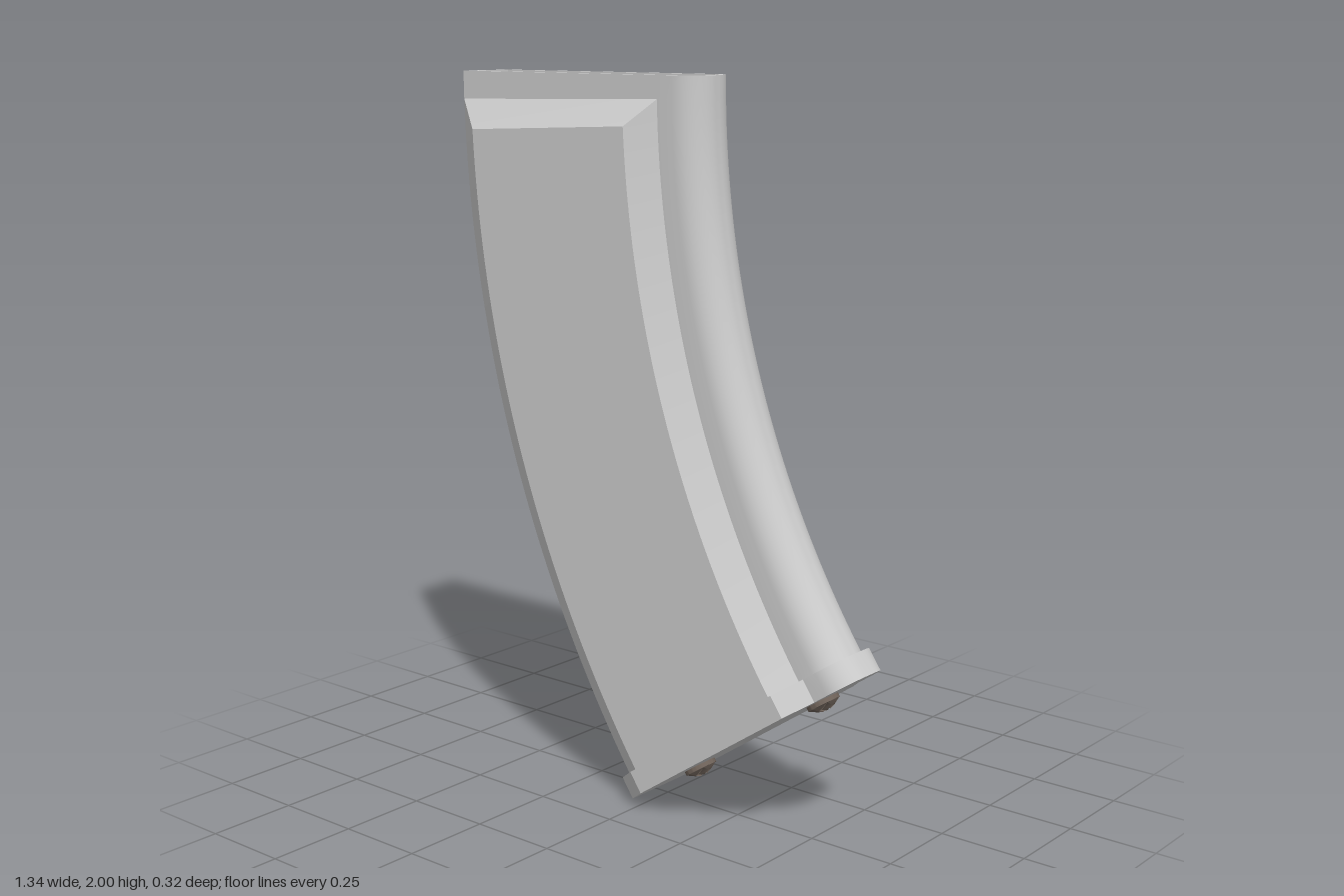
import * as THREE from 'three';
import { toCreasedNormals } from 'three/addons/utils/BufferGeometryUtils.js';

const CX = 2.725, CY = 2;            // centre of the arc the body is swept around
const rad = THREE.MathUtils.degToRad;
const END = rad(34.7);               // sweep angle at the base plate
const grey = new THREE.MeshStandardMaterial({ color: 0xcccccc });
const steel = new THREE.MeshStandardMaterial({ color: 0x6e6259 });

function add(parent, name, geometry, material) {
  const mesh = new THREE.Mesh(geometry, material);
  mesh.name = name;
  parent.add(mesh);
  return mesh;
}

// Closed outline [u, z]: flat end, two wide shoulder points, narrow rounded end
function outline(left, wideA, wideB, neck, zNeck, zWide, arcX, arcR) {
  const half = [[left, zNeck], [wideA, zWide], [wideB, zWide], [neck, zNeck]];
  for (let i = 0; i <= 8; i++) {
    const a = (i / 8) * Math.PI / 2;
    half.push([arcX + arcR * Math.sin(a), zNeck - arcR + arcR * Math.cos(a)]);
  }
  return half.concat(half.map(([u, z]) => [u, -z]).reverse());
}

// Places an outline on the arc at the given angle
const ringAt = (points, angle) => points.map(([u, z]) => new THREE.Vector3(
  CX - (CX - u) * Math.cos(angle), CY - (CX - u) * Math.sin(angle), z));

// Skins a list of rings, leaving out collapsed triangles
function loft(rings) {
  const pos = [];
  const tri = (a, b, c) => {
    if (new THREE.Triangle(a, b, c).getArea() > 1e-9) {
      for (const p of [a, b, c]) pos.push(p.x, p.y, p.z);
    }
  };
  for (let i = 0; i < rings.length - 1; i++) {
    const lo = rings[i], hi = rings[i + 1], n = lo.length;
    for (let j = 0; j < n; j++) {
      const k = (j + 1) % n;
      tri(lo[j], lo[k], hi[k]);
      tri(lo[j], hi[k], hi[j]);
    }
  }
  const g = new THREE.BufferGeometry();
  g.setAttribute('position', new THREE.Float32BufferAttribute(pos, 3));
  return toCreasedNormals(g, 0.4);
}

// Curved hollow shell: up the outside, over the rim, down the inside
function bodyGeometry() {
  const full = outline(-0.67, -0.58, -0.03, 0.035, 0.088, 0.15, 0.085, 0.08);
  const slim = outline(-0.67, -0.67, 0.035, 0.035, 0.088, 0.088, 0.085, 0.08);
  const inner = outline(-0.652, -0.652, 0.035, 0.035, 0.07, 0.07, 0.085, 0.062);
  const bulgeStart = rad(1.3), bulgeFull = rad(2.7), steps = 40;
  const rings = [];
  for (let i = 0; i <= steps; i++) {
    rings.push(ringAt(full, THREE.MathUtils.lerp(END, bulgeFull, i / steps)));
  }
  rings.push(ringAt(slim, bulgeStart), ringAt(slim, 0));
  for (let i = 0; i <= steps; i++) rings.push(ringAt(inner, END * i / steps));
  return loft(rings);
}

// Flat plate following the body outline with a small overhang
function plateGeometry() {
  const pts = outline(-0.69, -0.59, -0.01, 0.06, 0.1, 0.162, 0.105, 0.08);
  const shape = new THREE.Shape(pts.map(([u, z]) => new THREE.Vector2(u, z)));
  const g = new THREE.ExtrudeGeometry(shape, { depth: 0.065, bevelEnabled: false });
  g.rotateX(Math.PI / 2);
  return toCreasedNormals(g, 0.4);
}

// Domed screw head with a cross recess, pointing down
function headGeometry() {
  const R = 0.046, w = 0.006, l = 0.027;
  const shape = new THREE.Shape().absarc(0, 0, R, 0, Math.PI * 2);
  const cross = [];
  for (let q = 0; q < 4; q++) {
    for (const [x, y] of [[l, -w], [l, w], [w, w]]) {
      cross.push(new THREE.Vector2(x, y).rotateAround(new THREE.Vector2(), q * Math.PI / 2));
    }
  }
  shape.holes.push(new THREE.Path(cross));
  const g = new THREE.ExtrudeGeometry(shape, { depth: 0.03, bevelEnabled: false, curveSegments: 24 });
  const p = g.attributes.position;
  for (let i = 0; i < p.count; i++) {
    if (p.getZ(i) > 0.01) {
      const r = Math.hypot(p.getX(i), p.getY(i)) / R;
      p.setZ(i, 0.03 - 0.018 * r * r);
    }
  }
  g.rotateX(Math.PI / 2);
  return toCreasedNormals(g, 0.5);
}

function createScrew() {
  const screw = new THREE.Group();
  screw.name = 'screw';
  add(screw, 'screwHead', headGeometry(), steel);
  // floor of the cross recess
  add(screw, 'screwRecess', new THREE.CylinderGeometry(0.04, 0.04, 0.008, 24), steel);
  // tip showing inside the shell
  add(screw, 'screwTip', new THREE.CylinderGeometry(0.03, 0.045, 0.015, 24), steel).position.y = 0.0725;
  return screw;
}

export function createModel() {
  const model = new THREE.Group();
  model.name = 'curvedMagazine';
  add(model, 'body', bodyGeometry(), grey);

  // Base assembly, tilted to close the end of the sweep
  const base = new THREE.Group();
  base.name = 'base';
  base.rotation.z = END;
  base.position.set(CX - CX * Math.cos(END), CY - CX * Math.sin(END), 0);
  add(base, 'basePlate', plateGeometry(), grey);
  for (const u of [-0.495, 0.005]) {
    const screw = createScrew();
    screw.position.set(u, -0.065, 0);
    base.add(screw);
  }
  model.add(base);
  return model;
}
